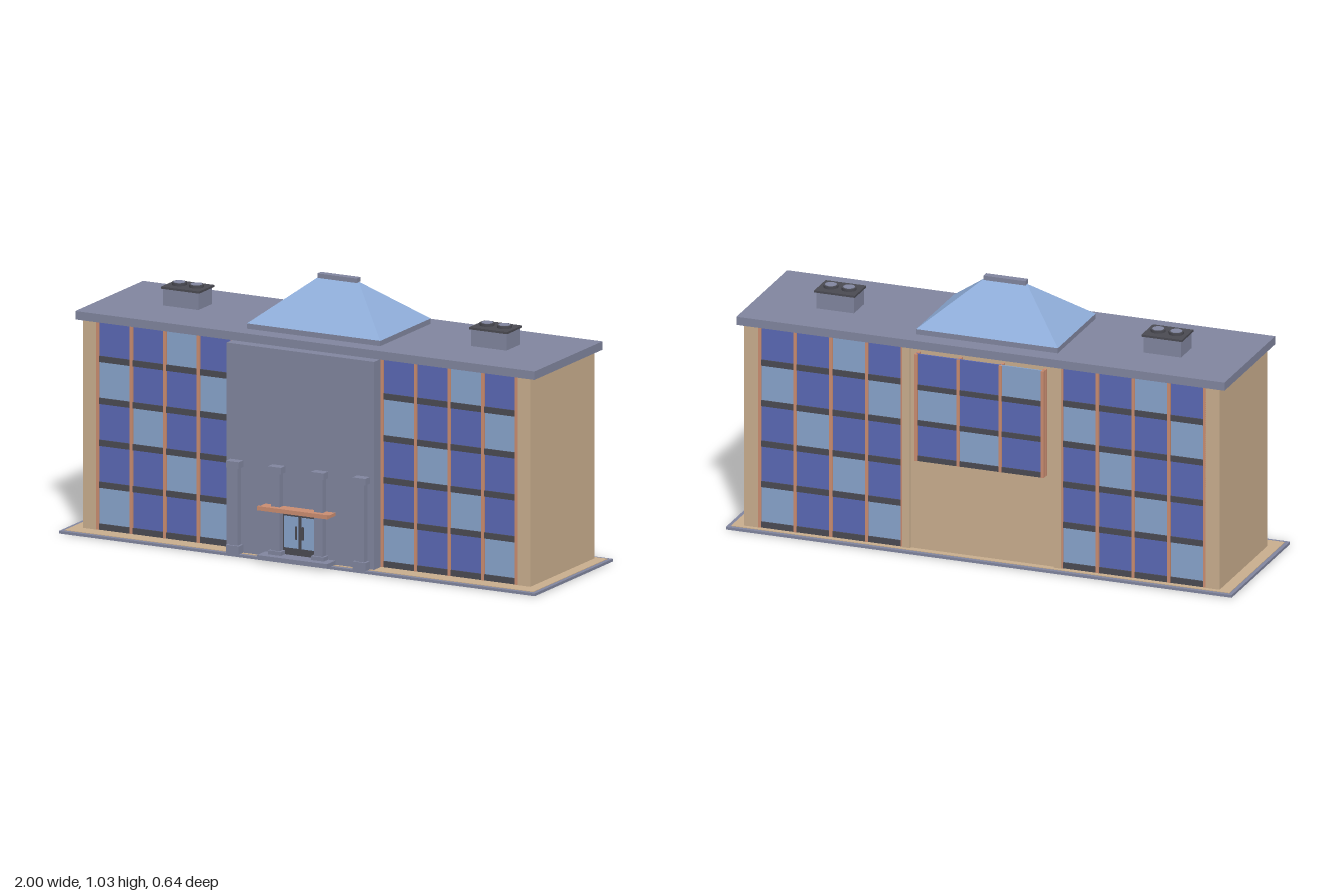
import * as THREE from 'three';

const mat = (name, color) => {
  const m = new THREE.MeshStandardMaterial({ color });
  m.name = name;
  return m;
};

export function createModel() {
  const grey = mat('slateGrey', 0x80859e);
  const tan = mat('sandstone', 0xc8ad8d);
  const copper = mat('copperTrim', 0xc98c70);
  const blue = mat('deepBlueGlass', 0x5a68b4);
  const pale = mat('paleBlueGlass', 0x87a3cb);
  const sky = mat('skylightGlass', 0x8eacd8);
  const dark = mat('charcoal', 0x4a4a52);

  const model = new THREE.Group();
  model.name = 'officeBuilding';

  // Box given by its extents
  const box = (parent, name, m, x0, x1, y0, y1, z0, z1) => {
    const mesh = new THREE.Mesh(new THREE.BoxGeometry(x1 - x0, y1 - y0, z1 - z0), m);
    mesh.position.set((x0 + x1) / 2, (y0 + y1) / 2, (z0 + z1) / 2);
    mesh.name = name;
    parent.add(mesh);
    return mesh;
  };
  const group = (name, parent = model) => {
    const g = new THREE.Group();
    g.name = name;
    parent.add(g);
    return g;
  };

  // Ground slab with paved top
  box(model, 'baseSlab', grey, -1, 1, 0, 0.01, -0.32, 0.284);
  box(model, 'paving', tan, -0.985, 0.985, 0.003, 0.012, -0.305, 0.268);

  // Main body, corner piers and rear centre wall
  box(model, 'body', tan, -0.935, 0.935, 0.01, 0.805, -0.274, 0.195);
  for (const s of [-1, 1]) {
    const [a, b] = s < 0 ? [-0.94, -0.885] : [0.885, 0.94];
    box(model, 'endPier', tan, a, b, 0.01, 0.805, -0.287, 0.208);
    const [c, d] = s < 0 ? [-0.315, -0.285] : [0.285, 0.315];
    box(model, 'rearPier', tan, c, d, 0.01, 0.805, -0.29, -0.27);
  }
  box(model, 'rearCentreWall', tan, -0.29, 0.29, 0.01, 0.805, -0.28, -0.27);
  box(model, 'entranceWall', grey, -0.31, 0.31, 0.01, 0.803, 0.19, 0.257);
  box(model, 'roofSlab', grey, -0.965, 0.965, 0.805, 0.837, -0.302, 0.222);

  // Grid of panes with sill bands and mullions, facing local +z
  const paleColumns = [[2], [0, 3], [1], [2], [0, 3]];
  const windowWall = (name, x0, x1, cols, rows, top) => {
    const g = group(name);
    const w = (x1 - x0) / cols;
    const pitch = 0.1595;
    const bottom = top - rows * pitch;
    for (let r = 0; r < rows; r++) {
      const y1 = top - r * pitch;
      const y0 = y1 - pitch;
      for (let c = 0; c < cols; c++) {
        const isPale = paleColumns[r].includes(c);
        box(g, 'pane', isPale ? pale : blue, x0 + c * w, x0 + (c + 1) * w, y0 + 0.022, y1, -0.004, 0.002);
      }
      box(g, 'sillBand', dark, x0, x1, y0, y0 + 0.023, -0.004, 0.007);
    }
    for (let c = 0; c <= cols; c++) {
      const x = x0 + c * w;
      box(g, 'mullion', copper, x - 0.006, x + 0.006, bottom, top, -0.004, 0.009);
    }
    return g;
  };
  for (const [x0, x1] of [[-0.88, -0.315], [0.315, 0.88]]) {
    windowWall('frontWindows', x0, x1, 4, 5, 0.81).position.z = 0.199;
    const rear = windowWall('rearWindows', x0, x1, 4, 5, 0.81);
    rear.rotation.y = Math.PI;
    rear.position.z = -0.278;
  }

  // Projecting rear centre window with inner posts behind it
  const bay = windowWall('rearCentreWindows', -0.25, 0.25, 3, 3, 0.79);
  bay.scale.y = 0.42 / 0.4785;
  bay.position.y = 0.79 * (1 - bay.scale.y);
  bay.rotation.y = Math.PI;
  bay.position.z = -0.308;
  for (let i = 0; i < 4; i++) {
    const x = -0.25 + i * 0.5 / 3;
    box(model, 'rearInnerPost', copper, x - 0.006, x + 0.006, 0.37, 0.79, -0.297, -0.28);
  }

  // Entrance columns
  for (const x of [-0.267, -0.09, 0.09, 0.265]) {
    const g = group('entranceColumn');
    box(g, 'columnBase', grey, x - 0.027, x + 0.027, 0.012, 0.043, 0.25, 0.292);
    box(g, 'columnShaft', grey, x - 0.018, x + 0.018, 0.043, 0.338, 0.25, 0.284);
    box(g, 'columnCapital', grey, x - 0.027, x + 0.027, 0.338, 0.363, 0.25, 0.292);
  }

  // Entrance step, canopy and double door
  box(model, 'entranceStep', grey, -0.147, 0.147, 0.012, 0.028, 0.25, 0.321);
  box(model, 'canopy', copper, -0.147, 0.147, 0.198, 0.21, 0.25, 0.319);
  box(model, 'canopyLip', copper, -0.147, 0.147, 0.198, 0.214, 0.311, 0.32);
  const door = group('entranceDoor');
  box(door, 'doorFrame', dark, -0.075, 0.075, 0.028, 0.198, 0.255, 0.26);
  for (const s of [-1, 1]) {
    const x = s * 0.037;
    box(door, 'doorGlass', pale, x - 0.03, x + 0.03, 0.055, 0.175, 0.258, 0.262);
    box(door, 'doorHandle', dark, s * 0.014 - 0.003, s * 0.014 + 0.003, 0.09, 0.14, 0.26, 0.267);
  }

  // Hipped skylight on a kerb with a ridge cap
  box(model, 'skylightKerb', grey, -0.28, 0.28, 0.837, 0.857, -0.235, 0.155);
  const hip = new THREE.BoxGeometry(0.56, 0.158, 0.39);
  const p = hip.attributes.position;
  for (let i = 0; i < p.count; i++) {
    if (p.getY(i) > 0) {
      p.setX(i, Math.sign(p.getX(i)) * 0.085);
      p.setZ(i, Math.sign(p.getZ(i)) * 0.002);
    }
  }
  hip.computeVertexNormals();
  const skylight = new THREE.Mesh(hip, sky);
  skylight.name = 'skylight';
  skylight.position.set(0, 0.936, -0.04);
  model.add(skylight);
  box(model, 'skylightRidge', grey, -0.083, 0.083, 1.014, 1.031, -0.054, -0.026);

  // Rooftop vents
  for (const x of [-0.647, 0.647]) {
    const g = group('roofVent');
    box(g, 'ventBody', grey, x - 0.074, x + 0.074, 0.837, 0.902, -0.113, -0.008);
    box(g, 'ventCap', dark, x - 0.08, x + 0.08, 0.901, 0.909, -0.12, -0.003);
    for (const dx of [-0.036, 0.036]) {
      for (const [name, m, r, h] of [['ventRing', dark, 0.028, 0.011], ['ventFan', grey, 0.022, 0.0125]]) {
        const c = new THREE.Mesh(new THREE.CylinderGeometry(r, r, h, 20), m);
        c.name = name;
        c.position.set(x + dx, 0.908 + h / 2, -0.063);
        g.add(c);
      }
    }
  }

  // Centre the slab's depth on the origin
  for (const part of model.children) part.position.z += 0;
  return model;
}
